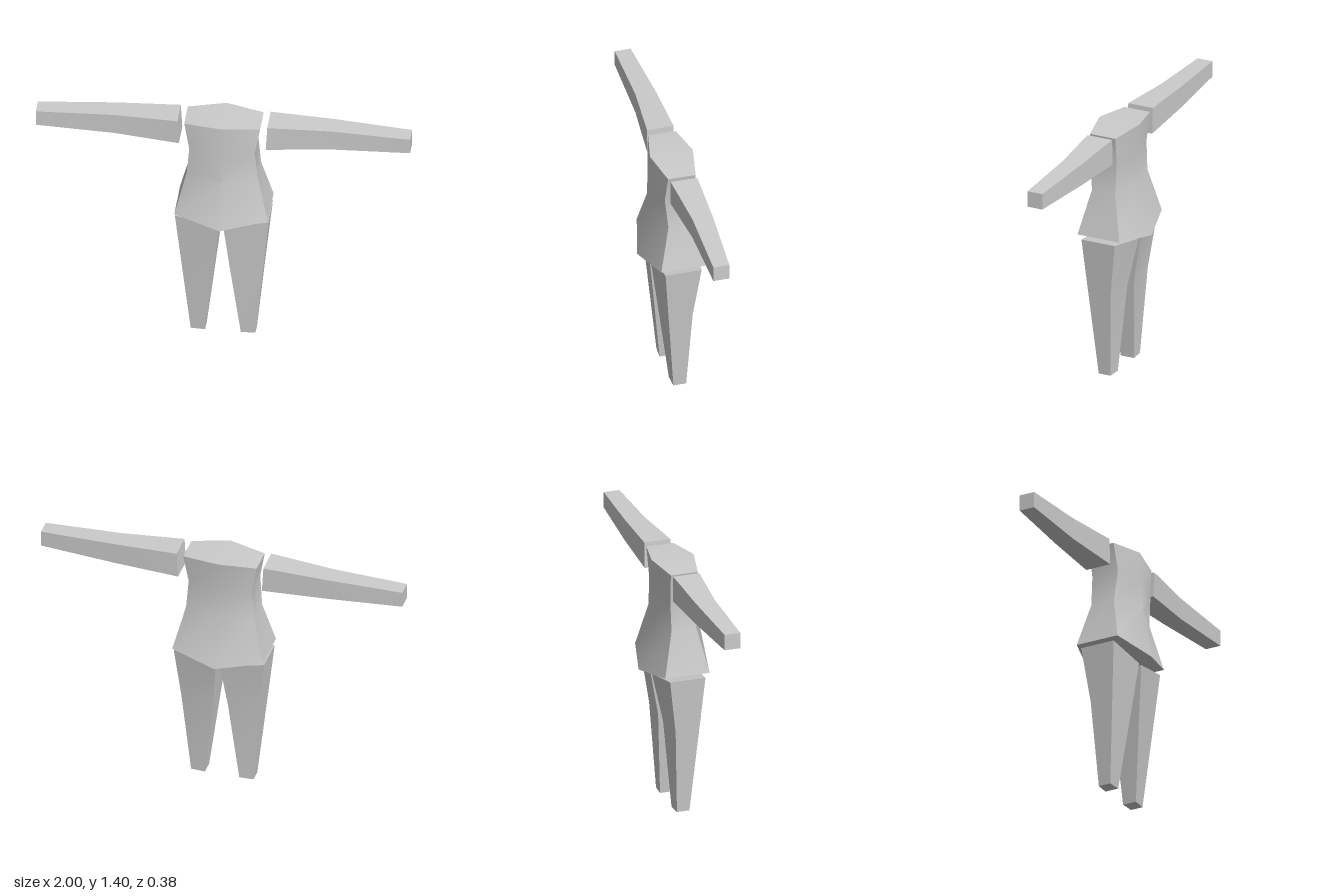
import * as THREE from 'three';
import { toCreasedNormals } from 'three/addons/utils/BufferGeometryUtils.js';

// Skin a stack of matching rings of [x, y, z] points and cap both ends.
// side = -1 mirrors the shape across x = 0.
function loft(rings, side = 1) {
  const r = side > 0 ? rings
    : rings.map(ring => ring.map(([x, y, z]) => [-x, y, z]).reverse());
  const n = r[0].length;
  const last = r.length - 1;
  const pos = [];
  const tri = (a, b, c) => pos.push(...a, ...b, ...c);
  for (let k = 0; k < last; k++) {
    for (let i = 0; i < n; i++) {
      const j = (i + 1) % n;
      tri(r[k][i], r[k][j], r[k + 1][j]);
      tri(r[k][i], r[k + 1][j], r[k + 1][i]);
    }
  }
  for (let i = 1; i < n - 1; i++) {
    tri(r[0][0], r[0][i + 1], r[0][i]);
    tri(r[last][0], r[last][i], r[last][i + 1]);
  }
  const geometry = new THREE.BufferGeometry();
  geometry.setAttribute('position', new THREE.Float32BufferAttribute(pos, 3));
  return toCreasedNormals(geometry, THREE.MathUtils.degToRad(40));
}

export function createModel() {
  const group = new THREE.Group();
  const grey = new THREE.MeshStandardMaterial({ color: 0xcccccc });
  grey.name = 'plain grey';
  const add = (name, geometry) => {
    const mesh = new THREE.Mesh(geometry, grey);
    mesh.name = name;
    group.add(mesh);
  };

  // Torso: six-sided sections, with the middle and sides at different heights
  // [middle y, side y, half width, front z, side front z, side back z, back z]
  const torso = [
    [0.775, 0.815, 0.25, 0.19, 0.123, -0.125, -0.19],
    [1.06, 1.06, 0.19, 0.137, 0.068, -0.07, -0.104],
    [1.23, 1.23, 0.175, 0.133, 0.084, -0.072, -0.102],
    [1.4, 1.387, 0.203, 0.118, 0.073, -0.078, -0.118],
  ].map(([ym, ys, w, f, sf, sb, b]) => [
    [0, ym, f], [w, ys, sf], [w, ys, sb], [0, ym, b], [-w, ys, sb], [-w, ys, sf],
  ]);
  add('torso', loft(torso));

  // Legs: four-sided, sloping up to the hip, straight in front and bent behind
  // [inner x, inner y, inner front z, inner back z, then the same for outer]
  const leg = [
    [0.095, 0, 0.04, -0.038, 0.173, 0, 0.036, -0.034],
    [0.04, 0.48, 0.091, -0.067, 0.22, 0.48, 0.075, -0.057],
    [0.012, 0.748, 0.12, -0.12, 0.25, 0.79, 0.1, -0.098],
  ].map(([xi, yi, fi, bi, xo, yo, fo, bo]) => [
    [xi, yi, fi], [xo, yo, fo], [xo, yo, bo], [xi, yi, bi],
  ]);

  // Arms: four-sided, held straight out and narrowing to the wrist
  // [top x, bottom x, top y, bottom y, front z, back z]
  const arm = [
    [0.24, 0.232, 1.395, 1.25, 0.069, -0.077],
    [0.58, 0.58, 1.384, 1.264, 0.041, -0.07],
    [1, 1, 1.368, 1.279, 0.041, -0.047],
  ].map(([xt, xb, t, b, f, k]) => [
    [xt, t, k], [xt, t, f], [xb, b, f], [xb, b, k],
  ]);

  for (const [label, side] of [['left', 1], ['right', -1]]) {
    add(label + 'Leg', loft(leg, side));
    add(label + 'Arm', loft(arm, side));
  }
  return group;
}
